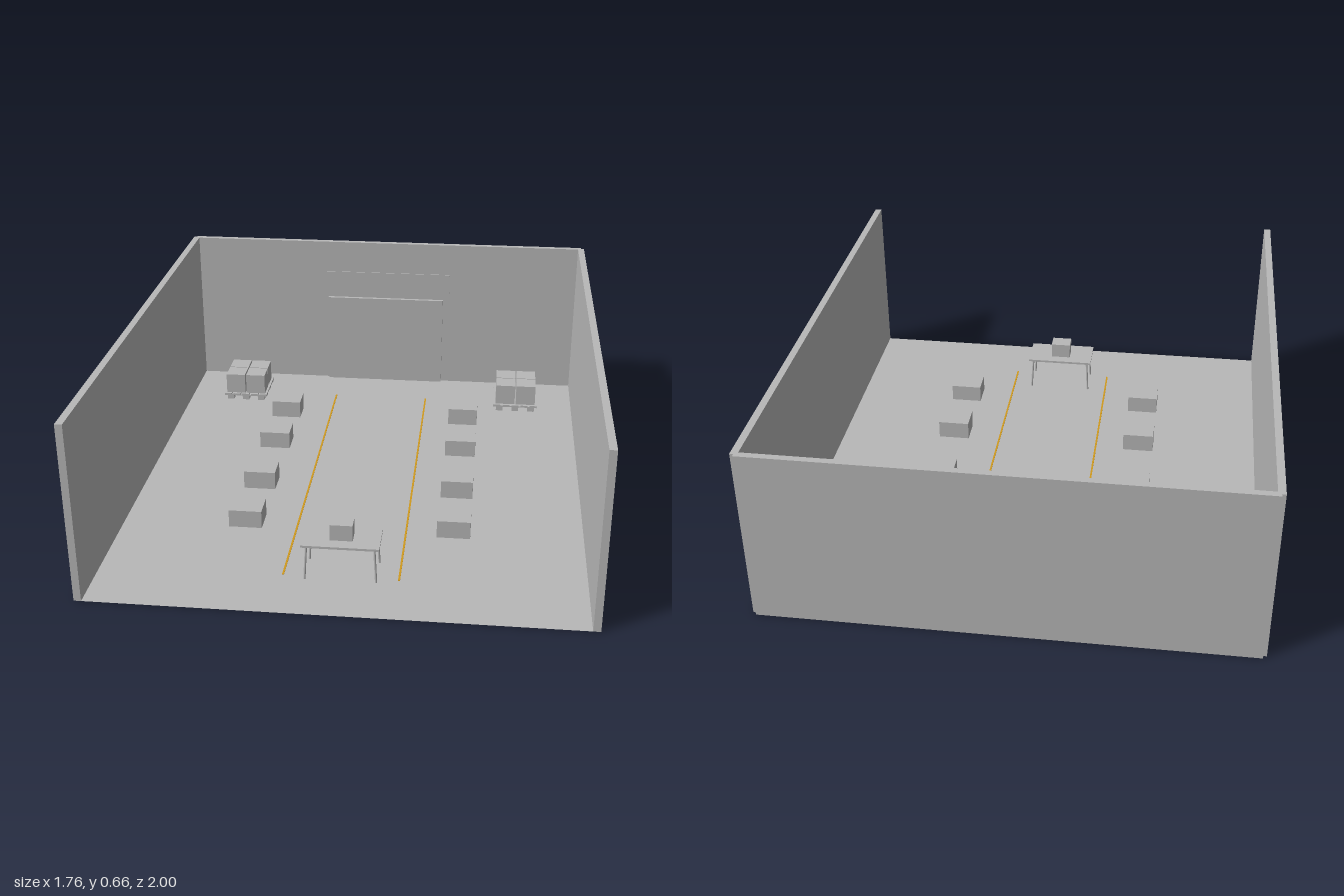
import * as THREE from 'three';

const grey = new THREE.MeshStandardMaterial({ color: 0xb8b8b8, side: THREE.DoubleSide });
grey.name = 'plain grey';
const amber = new THREE.MeshStandardMaterial({ color: 0xd09a1e });
amber.name = 'amber floor paint';

// Box from its size and the centre of its base
function box(parent, name, [w, h, d], [x, y, z], material = grey) {
  const mesh = new THREE.Mesh(new THREE.BoxGeometry(w, h, d), material);
  mesh.name = name;
  mesh.position.set(x, y + h / 2, z);
  parent.add(mesh);
  return mesh;
}

// Pallet of boards and blocks carrying a two by two stack of cartons
function loadedPallet(x, z) {
  const pallet = new THREE.Group();
  pallet.name = 'loadedPallet';
  pallet.position.set(x, 0, z);
  for (const i of [-1, 0, 1]) {
    for (const j of [-1, 0, 1]) {
      box(pallet, 'palletBlock', [0.03, 0.018, 0.03], [i * 0.069, 0, j * 0.078]);
    }
    box(pallet, 'crossBoard', [0.192, 0.005, 0.03], [0, 0.018, i * 0.078]);
  }
  for (let i = -2; i <= 2; i++) {
    box(pallet, 'deckBoard', [0.032, 0.007, 0.197], [i * 0.04, 0.023, 0]);
  }
  for (const i of [-1, 1]) {
    for (const j of [-1, 1]) {
      box(pallet, 'stackedCarton', [0.084, 0.087, 0.084], [i * 0.0445, 0.03, j * 0.0445]);
    }
  }
  return pallet;
}

// Table with slightly splayed legs and a carton on top
function packingTable() {
  const table = new THREE.Group();
  table.name = 'packingTable';
  table.position.set(0, 0, 0.717);
  box(table, 'tableTop', [0.272, 0.008, 0.15], [0, 0.129, 0]);
  for (const s of [-1, 1]) {
    box(table, 'longRail', [0.236, 0.008, 0.005], [0, 0.121, s * 0.06]);
    box(table, 'shortRail', [0.005, 0.008, 0.12], [s * 0.117, 0.121, 0]);
    for (const t of [-1, 1]) {
      const curve = new THREE.LineCurve3(
        new THREE.Vector3(s * 0.125, 0, t * 0.066),
        new THREE.Vector3(s * 0.118, 0.13, t * 0.061)
      );
      const leg = new THREE.Mesh(new THREE.TubeGeometry(curve, 1, 0.004, 8), grey);
      leg.name = 'tableLeg';
      table.add(leg);
    }
  }
  box(table, 'tableCarton', [0.08, 0.06, 0.063], [0, 0.137, -0.002]);
  return table;
}

export function createModel() {
  const model = new THREE.Group();
  model.name = 'warehouseRoom';

  // Floor sheet
  const floor = new THREE.Mesh(new THREE.PlaneGeometry(1.734, 1.988), grey);
  floor.name = 'floor';
  floor.rotation.x = -Math.PI / 2;
  floor.position.z = 0.006;
  model.add(floor);

  // Walls, with the front left open
  box(model, 'backWall', [1.734, 0.66, 0.024], [0, 0, -0.988]);
  for (const s of [-1, 1]) {
    box(model, 'sideWall', [0.026, 0.66, 1.988], [s * 0.867, 0, 0.006]);
  }

  // Loading door and the panel above it
  box(model, 'loadingDoor', [0.524, 0.4, 0.015], [0, 0, -0.9685]);
  box(model, 'doorHeaderPanel', [0.58, 0.097, 0.004], [0, 0.424, -0.974]);

  for (const s of [-1, 1]) {
    // Painted aisle line
    box(model, 'aisleLine', [0.007, 0.002, 1.525], [s * 0.203, 0, 0.002], amber);
    // Row of raised cartons beside the aisle
    [0.475, 0.177, -0.177, -0.475].forEach((z, i) => {
      box(model, 'rowCarton', [0.121, i % 2 ? 0.07 : 0.067, 0.1], [s * 0.38, 0.04, z]);
    });
    model.add(loadedPallet(s * 0.606, -0.765));
  }

  model.add(packingTable());
  return model;
}
